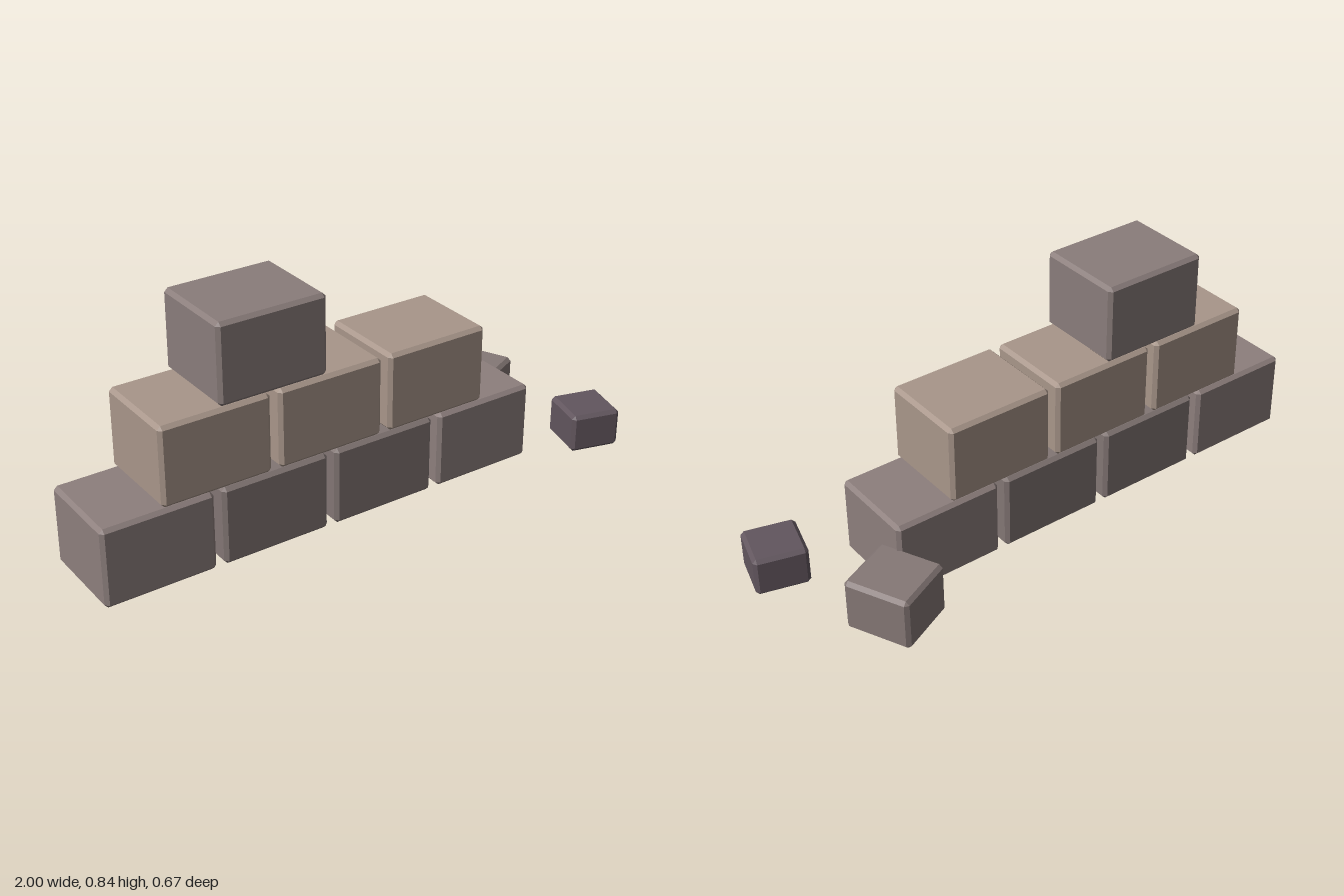
import * as THREE from 'three';
import { ConvexGeometry } from 'three/addons/geometries/ConvexGeometry.js';

const CHAMFER = 0.0125;

// Box with flat chamfered edges and triangular corners, standing on y = 0
function chamferedBox(w, h, d, c = CHAMFER) {
  const points = [];
  for (const sx of [-1, 1]) for (const sy of [-1, 1]) for (const sz of [-1, 1]) {
    for (const [cx, cy, cz] of [[0, c, c], [c, 0, c], [c, c, 0]]) {
      points.push(new THREE.Vector3(
        sx * (w / 2 - cx), h / 2 + sy * (h / 2 - cy), sz * (d / 2 - cz)));
    }
  }
  return new ConvexGeometry(points);
}

function addBlock(parent, name, geometry, color, x, y, z, turn = 0) {
  const mesh = new THREE.Mesh(geometry,
    new THREE.MeshStandardMaterial({ color, flatShading: true }));
  mesh.name = name;
  mesh.position.set(x, y, z);
  mesh.rotation.y = THREE.MathUtils.degToRad(turn);
  parent.add(mesh);
}

export function createModel() {
  const model = new THREE.Group();
  model.name = 'ruinedWall';

  // Staggered courses of equal blocks: x of the first block, then one colour per block
  const pitchX = 0.417, pitchY = 0.279, wallZ = 0.0425;
  const block = chamferedBox(0.388, 0.277, 0.325);
  const courses = [
    { name: 'bottomCourse', x: -0.806, colors: [0x8d7f7d, 0x827674, 0x827674, 0x8d7f7d] },
    { name: 'middleCourse', x: -0.597, colors: [0xa8968a, 0xa8968a, 0xa8968a] },
    { name: 'topCourse', x: -0.389, colors: [0x8a7d7b] },
  ];
  courses.forEach(({ name, x, colors }, row) => {
    const course = new THREE.Group();
    course.name = name;
    colors.forEach((color, i) =>
      addBlock(course, 'wallBlock', block, color, x + i * pitchX, row * pitchY, wallZ));
    model.add(course);
  });

  // Fallen stones beside the wall
  addBlock(model, 'largeFallenStone', chamferedBox(0.222, 0.186, 0.232), 0x857876,
    0.704, 0, -0.189, 25);
  addBlock(model, 'smallFallenStone', chamferedBox(0.182, 0.14, 0.182), 0x62565e,
    0.891, 0, 0.228, -15);

  return model;
}
